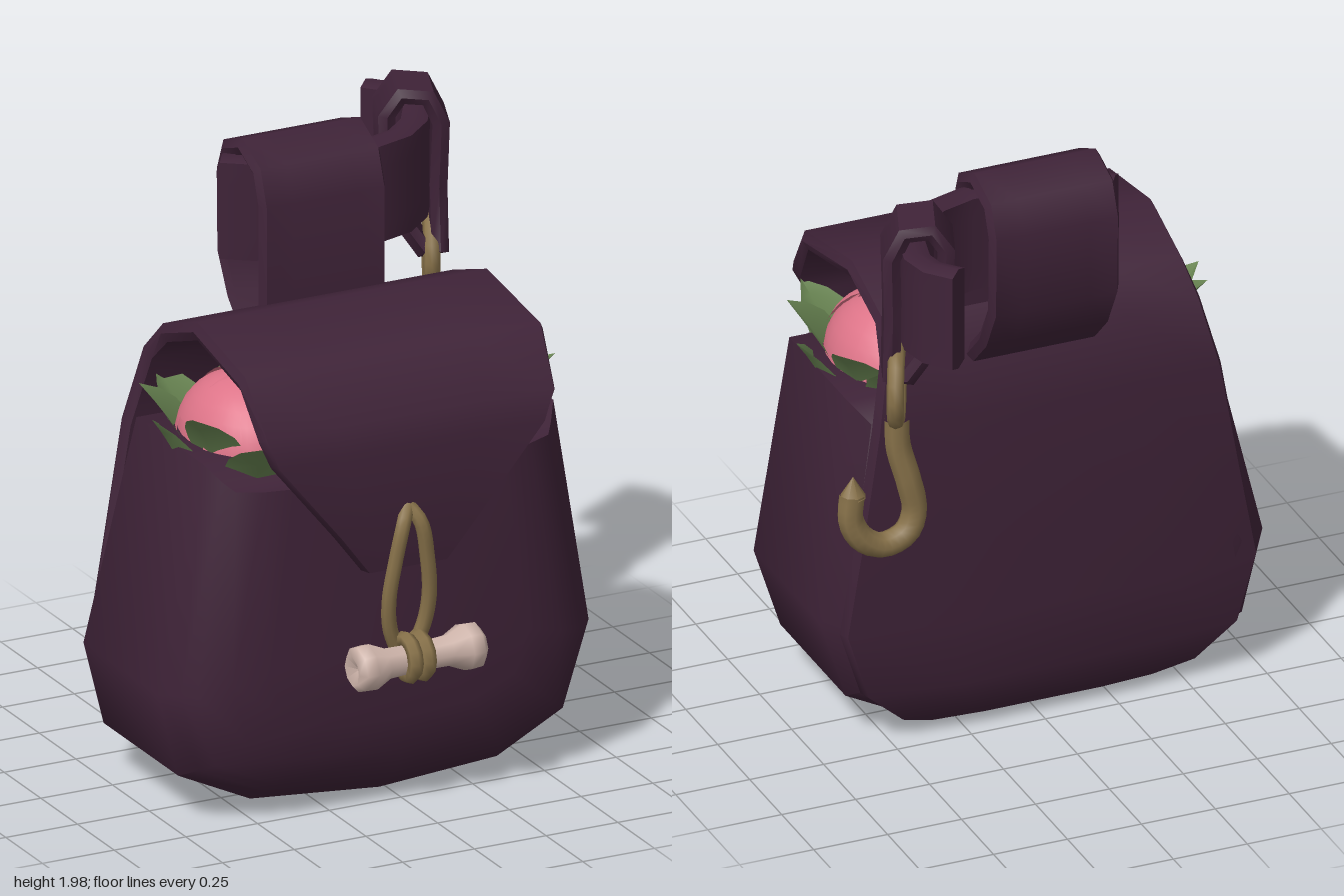
import * as THREE from 'three';
import { toCreasedNormals } from 'three/addons/utils/BufferGeometryUtils.js';

const V = (x, y, z) => new THREE.Vector3(x, y, z);

// Skin a list of rings; open lofts get fan caps, winding is made outward.
function loft(rings, closed = false, crease = 0.9) {
  const tris = [];
  const n = rings[0].length, m = rings.length;
  for (let i = 0; i < (closed ? m : m - 1); i++) {
    const A = rings[i], B = rings[(i + 1) % m];
    for (let j = 0; j < n; j++) {
      const k = (j + 1) % n;
      tris.push([A[j], A[k], B[k]], [A[j], B[k], B[j]]);
    }
  }
  if (!closed) {
    [rings[0], rings[m - 1]].forEach((R, end) => {
      const c = V(0, 0, 0);
      R.forEach(p => c.addScaledVector(p, 1 / n));
      for (let j = 0; j < n; j++) {
        const k = (j + 1) % n;
        tris.push(end ? [R[j], R[k], c] : [R[k], R[j], c]);
      }
    });
  }
  let vol = 0;
  tris.forEach(([a, b, c]) => { vol += a.dot(b.clone().cross(c)); });
  const pts = tris.flatMap(([a, b, c]) => (vol > 0 ? [a, b, c] : [a, c, b]));
  return toCreasedNormals(new THREE.BufferGeometry().setFromPoints(pts), crease);
}

// Leather sheet: path of [a, b, low, high], given thickness, placed by a map (a, b, w) => point.
function sheet(path, thick, map, closed = false) {
  const m = path.length;
  const rings = path.map(([a, b, lo, hi], i) => {
    const p = path[closed ? (i + m - 1) % m : Math.max(i - 1, 0)];
    const q = path[closed ? (i + 1) % m : Math.min(i + 1, m - 1)];
    const len = Math.hypot(q[0] - p[0], q[1] - p[1]);
    const na = -(q[1] - p[1]) / len * thick / 2, nb = (q[0] - p[0]) / len * thick / 2;
    const e = 0.015, w1 = lo + (hi - lo) * 0.25, w2 = lo + (hi - lo) * 0.75;
    const across = [lo + e, w1, w2, hi - e];
    const back = [hi - e, w2, w1, lo + e];
    return [...across.map(w => map(a + na, b + nb, w)), map(a, b, hi),
      ...back.map(w => map(a - na, b - nb, w)), map(a, b, lo)];
  });
  return loft(rings, closed);
}

const tube = (pts, r, seg = 20) =>
  new THREE.TubeGeometry(new THREE.CatmullRomCurve3(pts.map(p => V(...p))), seg, r, 8);

export function createModel() {
  const group = new THREE.Group();
  const mat = (name, color, side = THREE.FrontSide) => {
    const m = new THREE.MeshStandardMaterial({ color, side });
    m.name = name;
    return m;
  };
  const leather = mat('plum leather', 0x3f2338);
  const brass = mat('old brass', 0x88724a);
  const bone = mat('bone', 0xcfb5ab);
  const pink = mat('petal pink', 0xdd7488, THREE.DoubleSide);
  const green = mat('leaf green', 0x6a8653, THREE.DoubleSide);
  const add = (name, geo, material, parent = group) => {
    const mesh = new THREE.Mesh(geo, material);
    mesh.name = name;
    parent.add(mesh);
    return mesh;
  };

  // Pouch body: the front outline stacked from back to front, inset at the rounded edges
  const outline = [[-0.62, 1.18], [-0.79, 0.45], [-0.72, 0.17], [-0.47, 0.05], [-0.02, 0.01],
    [0.39, 0.04], [0.62, 0.16], [0.71, 0.44], [0.6, 1.18]];
  const layers = [[-0.37, 0.12], [-0.345, 0.06], [-0.27, 0], [0.24, 0],
    [0.305, 0.045], [0.35, 0.08], [0.395, 0.18], [0.415, 0.3]];
  add('pouchBody', loft(layers.map(([z, inset]) => outline.map(([x, y]) => {
    const taper = 1 - 0.1 * Math.max(0, y - 0.45) / 0.7;
    return V(-0.035 + (x + 0.035) * (1 - inset / 0.75),
      y > 0.6 ? y - Math.min(inset, 0.07) : 0.6 + (y - 0.6) * (1 - inset / 0.6),
      0.15 + z * taper);
  }))), leather);

  // Back panel and flap in one hide: up the back, over the opening, down to the blunt point
  const flapPath = [[-0.15, 0.055, -0.42, 0.36], [-0.19, 0.09, -0.55, 0.47],
    [-0.235, 0.2, -0.68, 0.6], [-0.245, 0.42, -0.745, 0.67], [-0.235, 0.75, -0.68, 0.62],
    [-0.215, 1.12, -0.61, 0.57], [-0.18, 1.35, -0.55, 0.53], [-0.1, 1.44, -0.53, 0.51],
    [0.12, 1.52, -0.53, 0.51], [0.45, 1.46, -0.54, 0.52], [0.56, 1.3, -0.525, 0.505],
    [0.58, 1.22, -0.495, 0.46], [0.58, 0.95, -0.275, 0.23], [0.57, 0.82, -0.175, 0.125]];
  add('backPanelAndFlap', sheet(flapPath, 0.06, (a, b, w) => {
    const bow = a < 0 ? 0.06 * THREE.MathUtils.clamp((1.2 - b) / 0.6, 0, 1) : 0;
    return V(w, b, a + bow * w * w / 0.49);
  }), leather);

  // Wide hanger loop on the back
  const loopPath = [[-0.1, 1.42], [-0.1, 1.8], [-0.135, 1.9], [-0.24, 1.95], [-0.35, 1.91],
    [-0.385, 1.82], [-0.38, 1.56], [-0.31, 1.43], [-0.21, 1.33]];
  add('hangerLoop', sheet(loopPath.map(p => [...p, -0.19, 0.25]), 0.055, (a, b, w) => V(w, b, a)), leather);

  // Belt piece running through the loop and curling backwards
  const beltPath = [[-0.21, -0.31], [-0.13, -0.25], [0.02, -0.21], [0.25, -0.21], [0.38, -0.25],
    [0.47, -0.33], [0.53, -0.43], [0.555, -0.53], [0.54, -0.61], [0.48, -0.68]];
  add('belt', sheet(beltPath.map(p => [...p, 1.56, 1.91]), 0.085, (a, b, w) => V(a, w, b)), leather);

  // Narrow keeper wrapped around the belt, carrying the hook
  const keeper = new THREE.Group();
  keeper.name = 'keeper';
  keeper.position.set(0.51, 0, -0.43);
  keeper.rotation.y = -0.36;
  group.add(keeper);
  const keeperPath = [[0.085, 1.44, 0.08], [0.08, 1.65, 0.075], [0.085, 1.87, 0.1], [0.045, 1.955, 0.1],
    [-0.04, 1.965, 0.1], [-0.085, 1.9, 0.1], [-0.075, 1.6, 0.08], [0.035, 1.44, 0.08]];
  add('keeperLoop', sheet(keeperPath.map(([u, y, h]) => [u, y, -h, h]), 0.055,
    (a, b, w) => V(a, b, w), true), leather, keeper);

  // Ring and hook
  const ring = add('hookRing', new THREE.TorusGeometry(0.112, 0.027, 8, 14), brass);
  ring.position.set(0.585, 1.405, -0.44);
  ring.rotation.y = Math.PI / 2 - 0.45;
  add('hook', tube([[0.585, 1.29, -0.44], [0.58, 1.19, -0.44], [0.55, 1.07, -0.45],
    [0.53, 0.96, -0.45], [0.56, 0.89, -0.455], [0.64, 0.862, -0.455], [0.71, 0.9, -0.455],
    [0.745, 0.97, -0.45], [0.74, 1.06, -0.45]], 0.042, 28), brass);
  const tip = add('hookTip', new THREE.ConeGeometry(0.042, 0.07, 8), brass);
  tip.position.set(0.737, 1.085, -0.45);

  // Bone toggle
  const toggleProfile = [[0, -0.2], [0.05, -0.225], [0.075, -0.205], [0.078, -0.165], [0.052, -0.11],
    [0.047, 0], [0.052, 0.11], [0.078, 0.165], [0.075, 0.205], [0.05, 0.225], [0, 0.2]];
  const toggle = add('toggle', new THREE.LatheGeometry(
    toggleProfile.map(p => new THREE.Vector2(...p)), 8), bone);
  toggle.position.set(-0.015, 0.525, 0.635);
  toggle.rotation.z = -Math.PI / 2 + 0.03;

  // Cord: two strands from the flap slit and wraps around the toggle
  for (const s of [-1, 1]) {
    add('cordStrand', tube([[-0.025, 1.02, 0.595], [-0.025 + s * 0.03, 0.97, 0.625],
      [-0.025 + s * 0.055, 0.85, 0.62], [-0.025 + s * 0.07, 0.72, 0.605],
      [-0.025 + s * 0.06, 0.62, 0.59], [-0.025 + s * 0.03, 0.54, 0.58]], 0.024), brass);
    const wrap = add('cordWrap', new THREE.TorusGeometry(0.06, 0.025, 6, 12), brass);
    wrap.position.set(-0.025 + s * 0.023, 0.53, 0.635);
    wrap.rotation.y = Math.PI / 2;
  }

  // Leaf: a broad, pointed, cupped blade growing along +y
  const leafGeo = new THREE.PlaneGeometry(0.23, 0.28, 2, 5);
  leafGeo.translate(0, 0.14, 0);
  const lp = leafGeo.attributes.position;
  for (let i = 0; i < lp.count; i++) {
    const t = THREE.MathUtils.clamp(lp.getY(i) / 0.28, 0, 1);
    const x = lp.getX(i) * (0.55 + 1.55 * t) * (1 - t * Math.sqrt(t));
    lp.setXYZ(i, x, t * 0.28, -Math.abs(x) * 0.35 + 0.05 * t * t);
  }
  leafGeo.computeVertexNormals();

  // Blossoms at both openings, each with overlapping petals and a collar of leaves
  for (const s of [-1, 1]) {
    const blossom = new THREE.Group();
    blossom.name = s > 0 ? 'leftBlossom' : 'rightBlossom';
    blossom.position.set(s * 0.36 - 0.015, 1.15, 0.16);
    group.add(blossom);
    const core = add('blossomCore', new THREE.SphereGeometry(0.195, 12, 8), pink, blossom);
    core.scale.set(0.95, 1.08, 1.2);
    const rows = [[6, 0.205, 0.5, 1.6], [5, 0.212, 0.15, 1.15]];
    rows.forEach(([count, r, t0, t1], row) => {
      for (let i = 0; i < count; i++) {
        const holder = new THREE.Group();
        holder.name = 'petalHolder';
        holder.scale.set(0.95, 1.05, 1.22);
        blossom.add(holder);
        const petal = add('petal', new THREE.SphereGeometry(r + 0.008 * (i % 2), 6, 5,
          -0.7, 1.4, t0, t1 - t0), pink, holder);
        petal.rotation.set(0, i / count * Math.PI * 2 + row * 0.5, 0.08);
      }
    });
    // Each leaf: angle from the outward side, tilt, distance, height
    const leaves = [[-0.6, 0.42, 0.16, -0.07], [0.55, 0.42, 0.16, -0.06], [0, 0.3, 0.19, -0.13],
      [1.2, 0.5, 0.2, -0.1], [-1.2, 0.45, 0.18, -0.08], [2.1, 0.3, 0.19, -0.06],
      [-2.1, 0.3, 0.19, -0.05], [3.1, -0.2, 0.19, -0.05]];
    leaves.forEach(([a, tilt, d, h]) => {
      const leaf = add('leaf', leafGeo, green, blossom);
      const yaw = s * (Math.PI / 2 - a);
      leaf.rotation.set(tilt, yaw, 0, 'YXZ');
      leaf.position.set(Math.sin(yaw) * d, h, Math.cos(yaw) * d * 1.2);
    });
  }
  return group;
}
